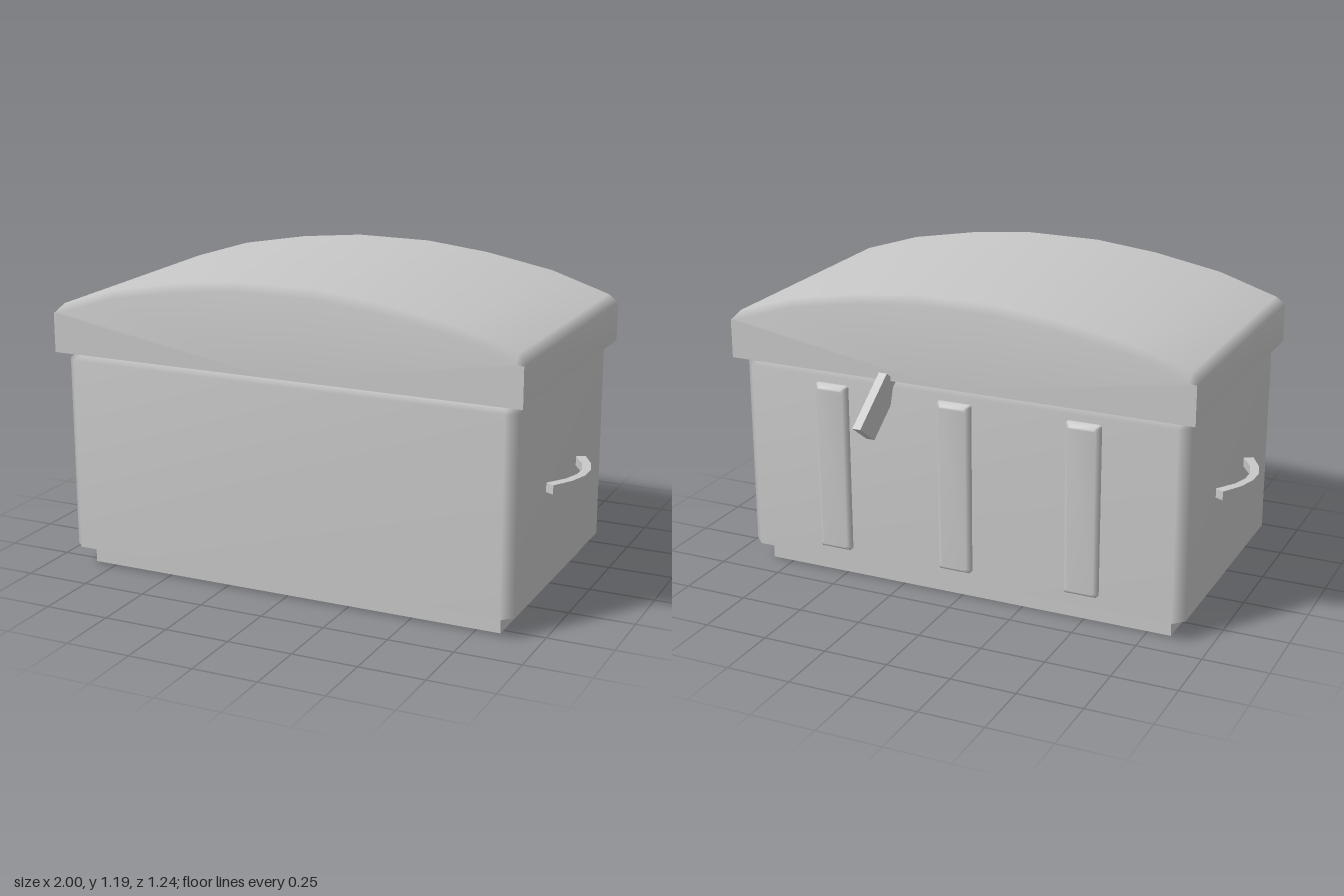
import * as THREE from 'three';
import { toCreasedNormals } from 'three/addons/utils/BufferGeometryUtils.js';

// Indexed geometry whose shared corners are shaded smoothly, weighted by face area
function indexed(points, faces) {
  const geo = new THREE.BufferGeometry();
  geo.setAttribute('position', new THREE.Float32BufferAttribute(points.flat(), 3));
  geo.setIndex(faces.flat());
  geo.computeVertexNormals();
  return geo;
}

// Block standing on y = 0 with cut vertical corners and a bevelled top
function bevelledBlock(width, depth, height, corner, bevel) {
  const points = [], faces = [];
  const ring = (y, inset) => {
    const a = width / 2 - inset, b = depth / 2 - inset, p = a - corner, q = b - corner;
    for (const [x, z] of [[a, q], [a, -q], [p, -b], [-p, -b], [-a, -q], [-a, q], [-p, b], [p, b]]) {
      points.push([x, y, z]);
    }
  };
  ring(0, 0);
  ring(height - bevel, 0);
  ring(height, bevel);
  ring(0, 0); // separate underside keeps the bottom edge sharp
  for (let r = 0; r < 2; r++) {
    for (let i = 0; i < 8; i++) {
      const a = r * 8 + i, b = r * 8 + (i + 1) % 8;
      faces.push([a, b, b + 8], [a, b + 8, a + 8]);
    }
  }
  for (let i = 1; i < 7; i++) {
    faces.push([16, 16 + i, 17 + i], [24, 25 + i, 24 + i]);
  }
  return indexed(points, faces);
}

// Arched lid: one cross-section swept front to back, with bevelled arched rims
function archedLid() {
  const half = [[0.93, 0.855], [0.93, 1.005], [0.9, 1.04], [0.67, 1.113], [0.4, 1.162], [0.15, 1.188]];
  const profile = [...half, ...half.map(([x, y]) => [-x, y]).reverse()];
  const n = profile.length, points = [], faces = [];
  const rows = [[-0.46, 0.03], [-0.43, 0], [0.585, 0], [0.615, 0.03]];
  for (const [z, drop] of rows) {
    profile.forEach(([x, y], i) => points.push([x, i > 1 && i < n - 2 ? y - drop : y, z]));
  }
  for (let r = 0; r < 3; r++) {
    for (let i = 0; i < n - 1; i++) {
      const a = r * n + i;
      faces.push([a, a + 1, a + n + 1], [a, a + n + 1, a + n]);
    }
  }
  // end faces share the arch but not the vertical corners
  for (const r of [0, 3]) {
    const add = (p) => points.push(p) - 1;
    const loop = profile.map((_, i) => {
      const k = r * n + i;
      return i > 1 && i < n - 2 ? k : add([...points[k]]);
    });
    const mid = add([0, 0.855, rows[r][0]]);
    for (let i = 0; i < n - 1; i++) {
      faces.push(r ? [mid, loop[i], loop[i + 1]] : [mid, loop[i + 1], loop[i]]);
    }
  }
  // underside
  const u = points.length;
  points.push([-0.93, 0.855, -0.46], [0.93, 0.855, -0.46], [0.93, 0.855, 0.615], [-0.93, 0.855, 0.615]);
  faces.push([u, u + 1, u + 2], [u, u + 2, u + 3]);
  return indexed(points, faces);
}

// Bowed bar handle, flat above and below
function handleGeometry(side) {
  const outer = [[0.932, 0.19], [0.978, 0.11], [1.0, 0.035]];
  const inner = [[0.898, 0.172], [0.948, 0.095], [0.968, 0.03]];
  const mirror = (list) => list.map(([x, z]) => [x, -z]).reverse();
  const outline = [...outer, ...mirror(outer), ...inner.concat(mirror(inner)).reverse()];
  const shape = new THREE.Shape(outline.map(([x, z]) => new THREE.Vector2(side * x, z)));
  const geo = new THREE.ExtrudeGeometry(shape, { depth: 0.035, bevelEnabled: false });
  geo.rotateX(-Math.PI / 2);
  return toCreasedNormals(geo, 0.7);
}

export function createModel() {
  const model = new THREE.Group();
  model.name = 'chest';
  const grey = new THREE.MeshStandardMaterial({ color: 0xc8c8c8 });
  grey.name = 'plain grey';

  const add = (name, geo, x = 0, y = 0, z = 0) => {
    const mesh = new THREE.Mesh(geo, grey);
    mesh.name = name;
    mesh.position.set(x, y, z);
    model.add(mesh);
    return mesh;
  };

  // Main box
  add('base', new THREE.BoxGeometry(1.68, 0.08, 0.905), 0, 0.04, 0.078);
  add('body', bevelledBlock(1.8, 1.035, 0.775, 0.04, 0.03), 0, 0.08, 0.0825);
  add('lid', archedLid());

  // Side handles
  for (const side of [1, -1]) {
    add(side > 0 ? 'leftHandle' : 'rightHandle', handleGeometry(side), 0, 0.45, 0.08);
  }

  // Upright strips on the back
  for (const x of [-0.51, 0, 0.51]) {
    const strip = bevelledBlock(0.137, 0.67, 0.035, 0.008, 0.015);
    strip.rotateX(-Math.PI / 2);
    add('backStrip', strip, x, 0.465, -0.425);
  }

  // Tilted latch plate hanging below the lid
  const plate = new THREE.BoxGeometry(1, 1, 1);
  plate.applyMatrix4(new THREE.Matrix4().makeBasis(
    new THREE.Vector3(0.033, 0, 0),
    new THREE.Vector3(-0.045, 0.183, 0.13),
    new THREE.Vector3(0, -0.075, 0.105)
  ));
  plate.computeVertexNormals();
  add('latch', plate, 0.286, 0.764, -0.5025);

  return model;
}
